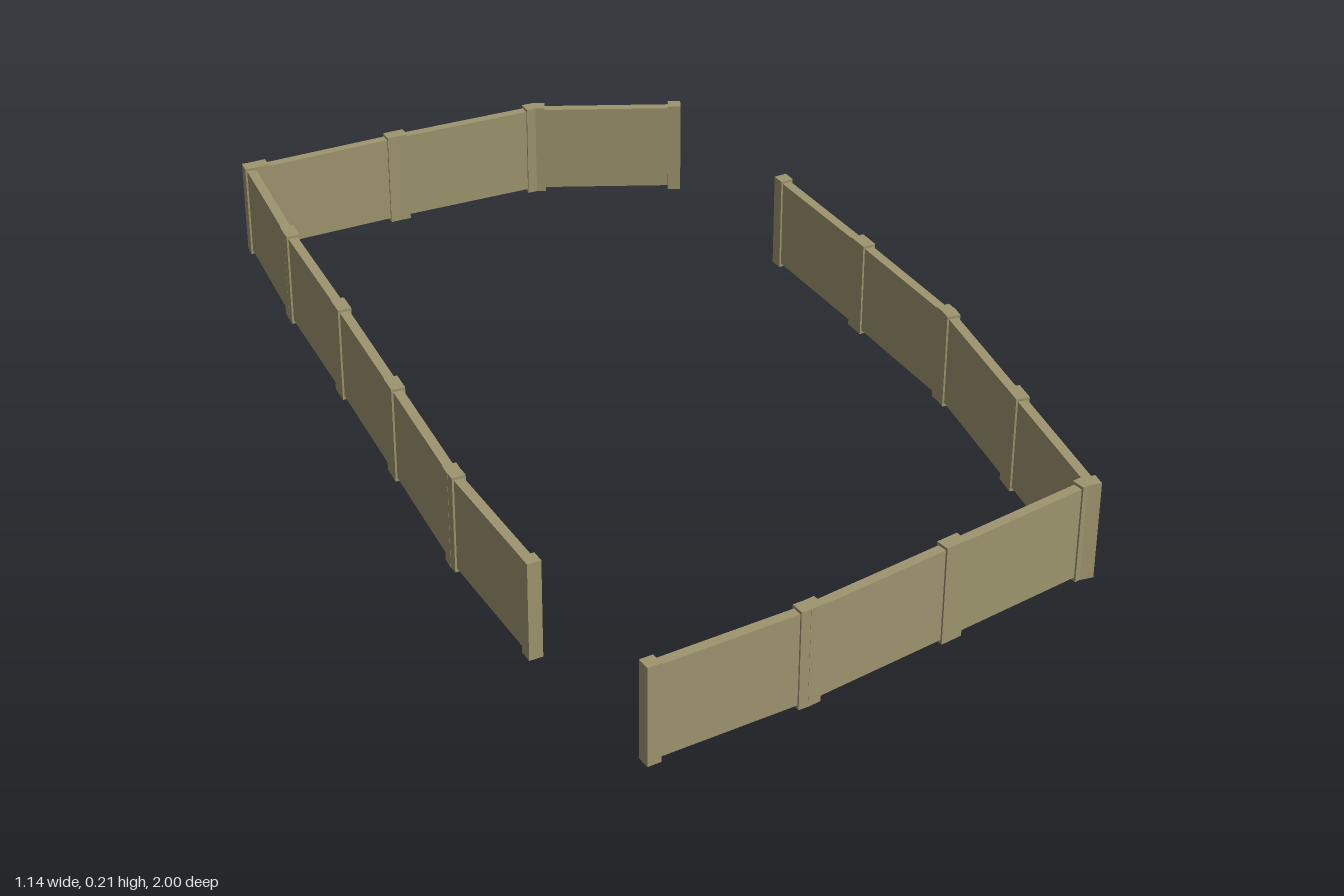
import * as THREE from 'three';

const POST = { size: 0.028, height: 0.208 };
const PANEL = { thickness: 0.02, bottom: 0.008, top: 0.202 };
const JOINT_GAP = 0.009; // posts of neighbouring sections sit either side of a joint

// Ground-plan points [x, z] of each straight-sided run of fence
const RUNS = {
  backFence: [[0.52, -0.812], [0.24, -0.952], [-0.09, -0.974], [-0.402, -0.985]],
  rightFence: [[-0.427, -0.986], [-0.466, -0.675], [-0.494, -0.347], [-0.525, -0.024], [-0.557, 0.305], [-0.559, 0.622]],
  leftFence: [[0.554, -0.39], [0.557, -0.074], [0.555, 0.25], [0.5, 0.57], [0.445, 0.885]],
  frontFence: [[0.43, 0.882], [0.117, 0.926], [-0.204, 0.97], [-0.518, 0.983]],
};

export function createModel() {
  const model = new THREE.Group();
  model.name = 'fence';
  const material = new THREE.MeshStandardMaterial({ color: 0x9e956e });

  const addBox = (parent, name, w, h, d, x, y) => {
    const mesh = new THREE.Mesh(new THREE.BoxGeometry(w, h, d), material);
    mesh.name = name;
    mesh.position.set(x, y, 0);
    parent.add(mesh);
  };

  // One section: a thin panel with a post at each end
  function createSection([ax, az], [bx, bz], startInset, endInset) {
    const section = new THREE.Group();
    section.name = 'fenceSection';
    section.position.set(ax, 0, az);
    section.rotation.y = -Math.atan2(bz - az, bx - ax);
    const start = startInset;
    const end = Math.hypot(bx - ax, bz - az) - endInset;
    addBox(section, 'panel', end - start, PANEL.top - PANEL.bottom, PANEL.thickness,
      (start + end) / 2, (PANEL.top + PANEL.bottom) / 2);
    for (const x of [start, end]) {
      addBox(section, 'post', POST.size, POST.height, POST.size, x, POST.height / 2);
    }
    return section;
  }

  for (const [name, points] of Object.entries(RUNS)) {
    const run = new THREE.Group();
    run.name = name;
    const last = points.length - 1;
    for (let i = 0; i < last; i++) {
      run.add(createSection(points[i], points[i + 1],
        i === 0 ? 0 : JOINT_GAP, i + 1 === last ? 0 : JOINT_GAP));
    }
    model.add(run);
  }
  return model;
}
